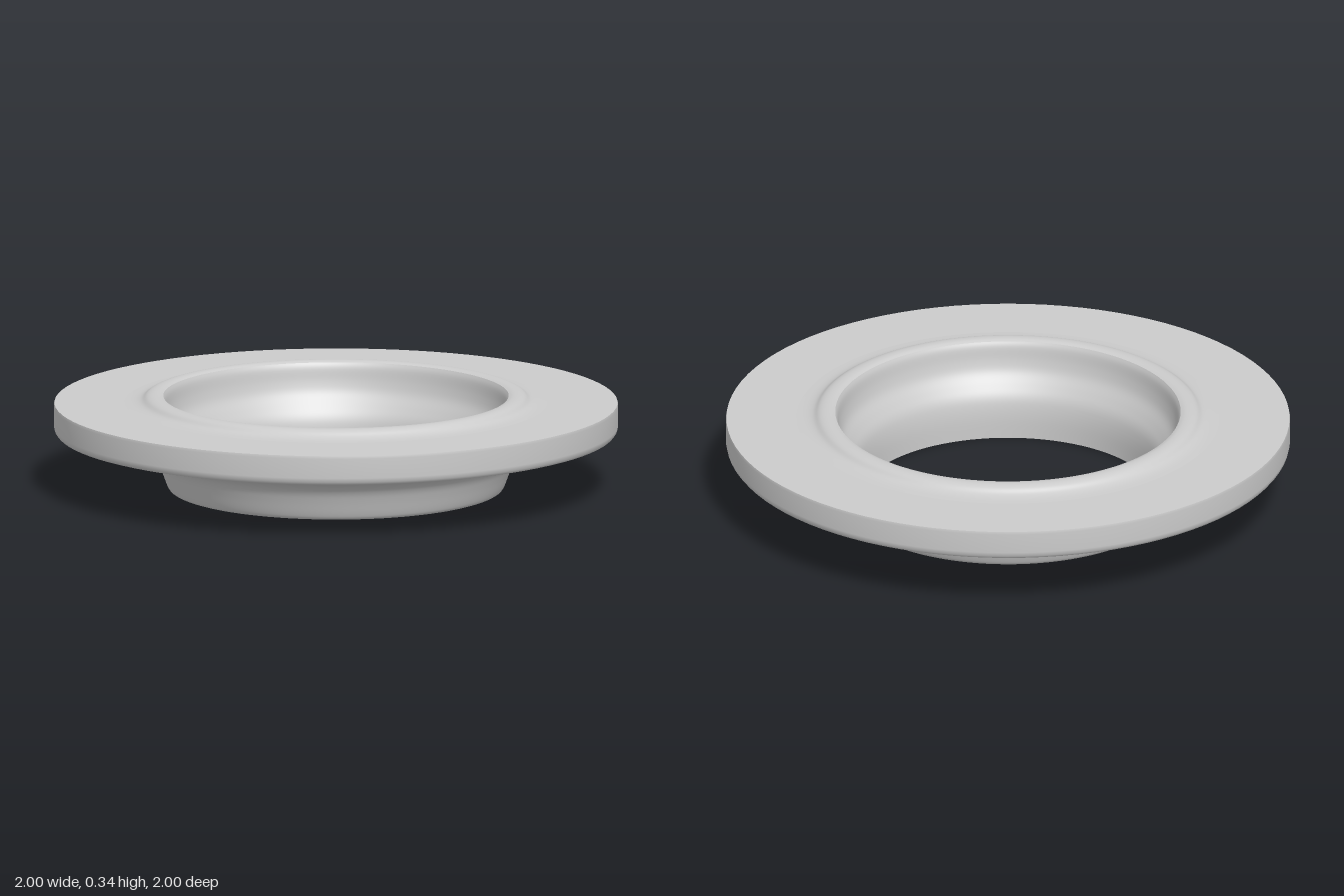
import * as THREE from 'three';

export function createModel() {
  const group = new THREE.Group();
  group.name = 'flangedRing';
  const material = new THREE.MeshStandardMaterial({ color: 0xcccccc });

  // Revolves one stretch of the [radius, height] profile; stretches meet at sharp edges
  function revolve(name, profile, smooth = false) {
    let points = profile.map(([r, y]) => new THREE.Vector2(r, y));
    if (smooth) points = new THREE.SplineCurve(points).getPoints(points.length * 4);
    const mesh = new THREE.Mesh(new THREE.LatheGeometry(points, 96), material);
    mesh.name = name;
    group.add(mesh);
  }

  // Flat foot of the collar
  revolve('collarFoot', [[0.525, 0], [0.58, 0]]);

  // Tapered collar flowing into the sloping underside of the flange
  revolve('underside', [
    [0.58, 0], [0.592, 0.006], [0.602, 0.025], [0.618, 0.068], [0.632, 0.1], [0.65, 0.123],
    [0.68, 0.141], [0.73, 0.156], [0.8, 0.175], [0.87, 0.194], [0.91, 0.201],
  ], true);
  revolve('undersideBorder', [[0.91, 0.201], [0.98, 0.203]]);

  // Outer rim with a small rounded lower edge
  revolve('rim', [[0.98, 0.203], [0.99, 0.206], [0.997, 0.215], [1, 0.23], [1, 0.3], [0.998, 0.31]]);

  // Flat upper face of the flange
  revolve('upperFace', [[0.998, 0.31], [0.75, 0.31]]);

  // Raised lip around the hole
  revolve('lip', [
    [0.75, 0.31], [0.715, 0.313], [0.69, 0.32], [0.67, 0.334], [0.65, 0.34],
    [0.628, 0.34], [0.612, 0.335],
  ], true);

  // Bore, flared towards the top
  revolve('bore', [
    [0.612, 0.335], [0.604, 0.315], [0.597, 0.27], [0.585, 0.23], [0.56, 0.19],
    [0.54, 0.155], [0.53, 0.12], [0.525, 0.07], [0.525, 0],
  ], true);

  return group;
}
